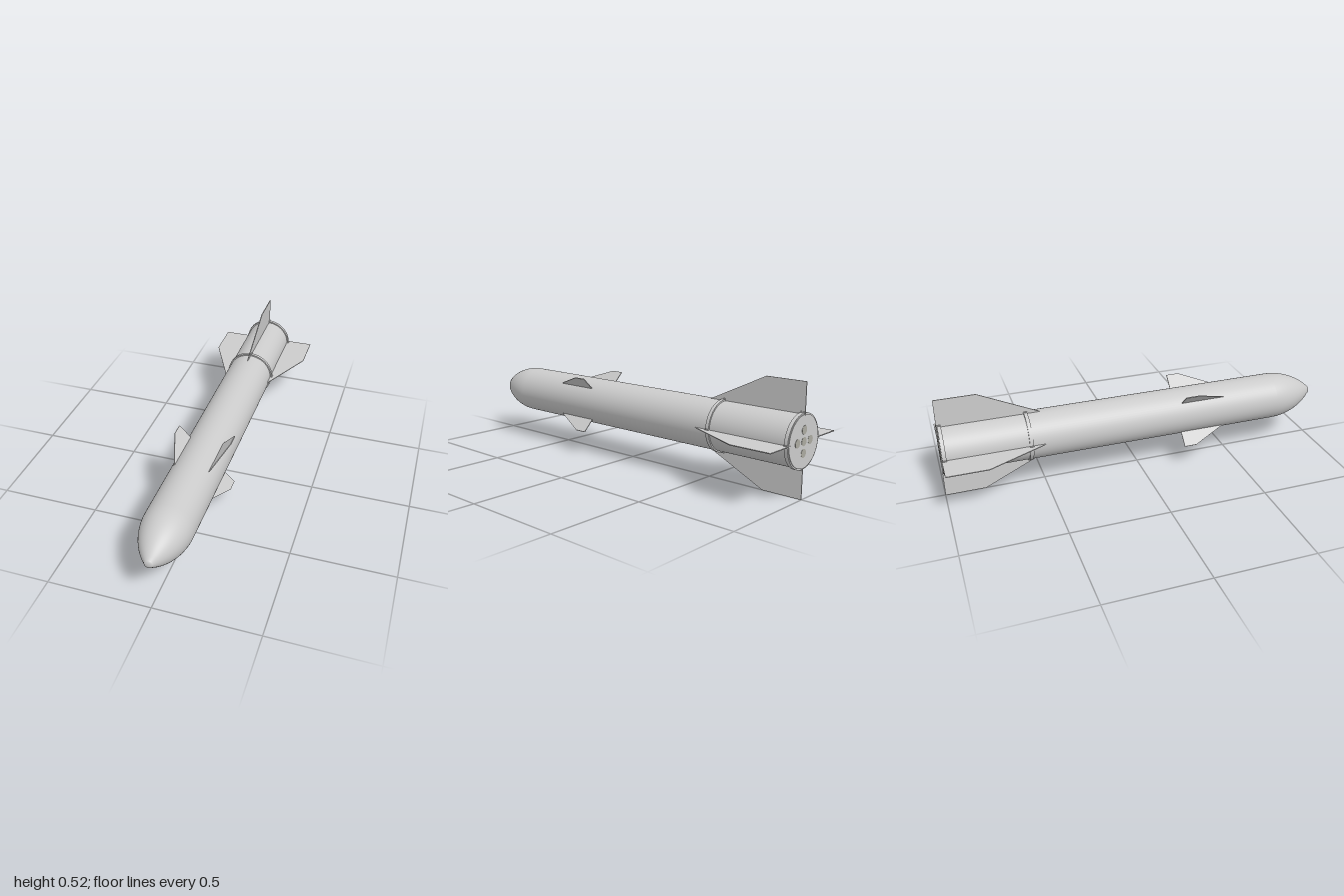
import * as THREE from 'three';

const R = 0.12;          // body radius
const AXIS_Y = 0.262;    // height of the body axis

export function createModel() {
  const model = new THREE.Group();
  const grey = new THREE.MeshStandardMaterial({ color: 0xcccccc });
  const dark = new THREE.MeshStandardMaterial({ color: 0xaaa9a0 });

  const add = (parent, name, geometry, material = grey) => {
    const mesh = new THREE.Mesh(geometry, material);
    mesh.name = name;
    parent.add(mesh);
    return mesh;
  };
  // Everything is built around the z axis, then lifted
  const missile = new THREE.Group();
  missile.name = 'missile';
  missile.position.y = AXIS_Y;
  model.add(missile);

  // Body tube with closed rear face
  const tube = new THREE.CylinderGeometry(R, R, 1.749, 64);
  tube.rotateX(Math.PI / 2).translate(0, 0, -0.1245);
  add(missile, 'body', tube);

  // Nose cone: tangent ogive with a small rounded tip
  const ogiveR = 0.343, profile = [];
  for (let i = 0; i <= 20; i++) {
    const d = 0.24 * i / 20;
    profile.push(new THREE.Vector2(R - ogiveR + Math.sqrt(ogiveR ** 2 - d * d), 0.75 + d));
  }
  const tipR = profile[20].x;
  for (let i = 1; i <= 6; i++) {
    const a = (i / 6) * Math.PI / 2;
    profile.push(new THREE.Vector2(Math.max(0, tipR * Math.cos(a)), 0.99 + 0.01 * Math.sin(a)));
  }
  add(missile, 'noseCone', new THREE.LatheGeometry(profile, 64).rotateX(Math.PI / 2));

  // Flat fin: outline given as [radius, z], centred on its thickness
  const finGeometry = (outline, thickness) => {
    const shape = new THREE.Shape(outline.map(([r, z]) => new THREE.Vector2(r, z)));
    return new THREE.ExtrudeGeometry(shape, { depth: thickness, bevelEnabled: false })
      .translate(0, 0, -thickness / 2)
      .rotateX(Math.PI / 2);
  };
  const tailFin = finGeometry([[0.11, -0.48], [0.262, -0.8], [0.262, -1], [0.11, -1]], 0.004);
  const canard = finGeometry([[0.11, 0.47], [0.2, 0.28], [0.2, 0.215], [0.11, 0.215]], 0.004);
  for (let i = 0; i < 4; i++) {
    const angle = i * Math.PI / 2;
    add(missile, 'tailFin', tailFin).rotation.z = angle;
    add(missile, 'frontFin', canard).rotation.z = angle + Math.PI / 4;
  }

  // Clamp rings, each with a small lug on every tail fin
  for (const z of [-0.575, -0.987]) {
    const ring = new THREE.Group();
    ring.name = 'clampRing';
    ring.position.z = z;
    missile.add(ring);
    const h = 0.009;
    const section = [[0.117, -h], [0.1265, -h], [0.1265, h], [0.117, h], [0.117, -h]];
    // Separate bands keep the edges of the ring sharp
    for (let i = 0; i < 4; i++) {
      const band = [section[i], section[i + 1]].map(([r, y]) => new THREE.Vector2(r, y));
      add(ring, 'ringBand', new THREE.LatheGeometry(band, 64).rotateX(Math.PI / 2));
    }
    for (let i = 0; i < 4; i++) {
      const a = i * Math.PI / 2;
      const lug = add(ring, 'ringLug', new THREE.BoxGeometry(0.014, 0.012, 0.02));
      lug.position.set(0.124 * Math.cos(a), 0.124 * Math.sin(a), 0);
      lug.rotation.z = a;
    }
  }

  // Exhaust ports on the rear face
  const port = new THREE.CylinderGeometry(0.02, 0.02, 0.002, 32).rotateX(Math.PI / 2);
  for (const [x, y] of [[0, 0], [1, 0], [-1, 0], [0, 1], [0, -1]]) {
    add(missile, 'exhaustPort', port, dark).position.set(x * 0.052, y * 0.052, -0.999);
  }

  return model;
}
